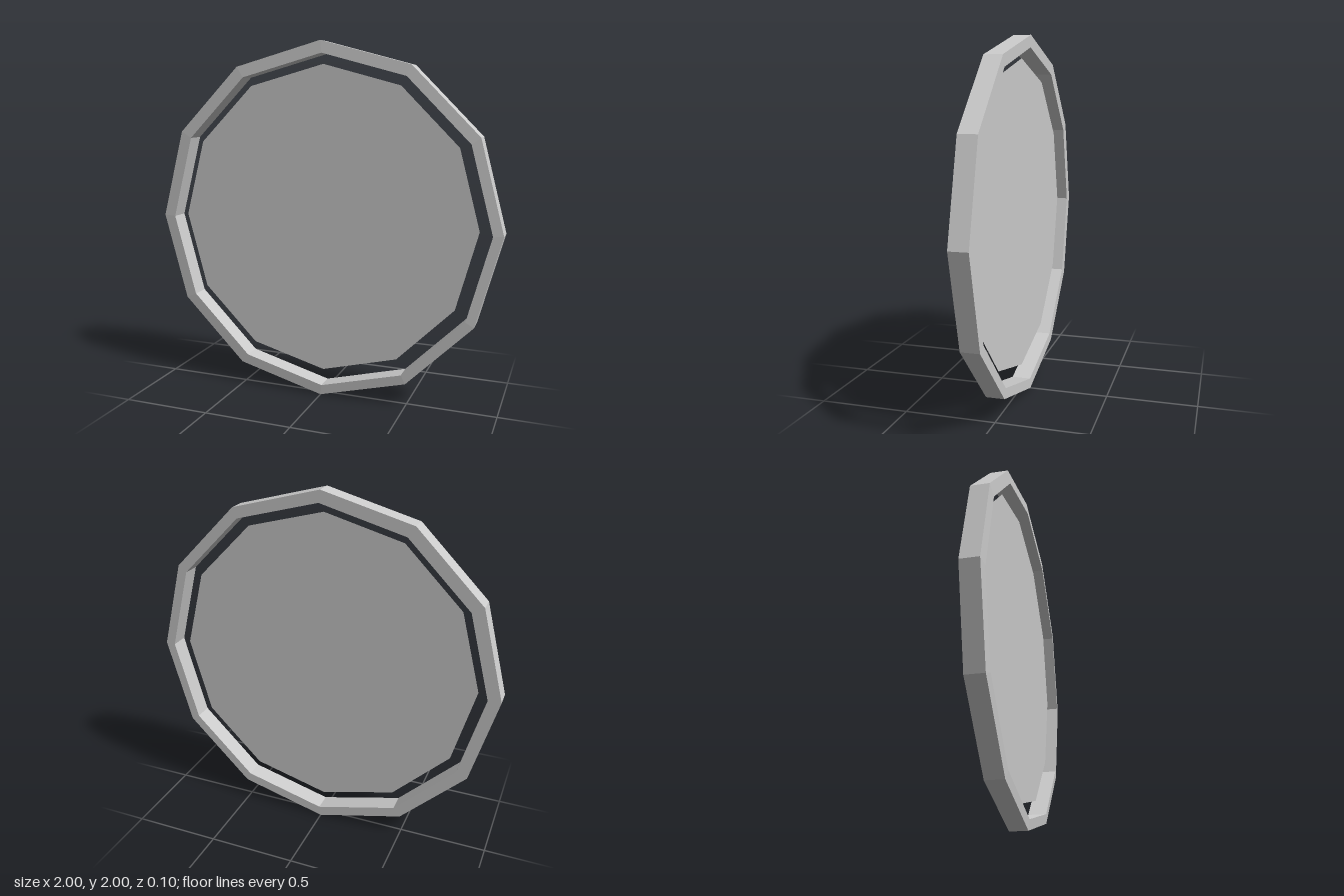
import * as THREE from 'three';

const SIDES = 12;

// Corners of a regular polygon around a centre
function polygon(radius, cx = 0, cy = 0) {
  return Array.from({ length: SIDES }, (_, i) => {
    const a = (i / SIDES) * Math.PI * 2;
    return new THREE.Vector2(cx + radius * Math.cos(a), cy + radius * Math.sin(a));
  });
}

export function createModel() {
  const group = new THREE.Group();
  group.name = 'roundPanel';

  // Twelve-sided frame, its opening very slightly off centre
  const shape = new THREE.Shape(polygon(1));
  shape.holes.push(new THREE.Path(polygon(0.937, 0.008, -0.004).reverse()));
  const frameGeometry = new THREE.ExtrudeGeometry(shape, { depth: 0.1, bevelEnabled: false });
  frameGeometry.translate(0, 0, -0.0525);

  // The front face rises slightly towards the opening
  const p = frameGeometry.attributes.position;
  for (let i = 0; i < p.count; i++) {
    const inner = Math.hypot(p.getX(i), p.getY(i)) < 0.97;
    if (inner && p.getZ(i) > 0) p.setZ(i, 0.0525);
  }
  frameGeometry.computeVertexNormals();
  const frame = new THREE.Mesh(
    frameGeometry,
    new THREE.MeshStandardMaterial({ color: 0xcccccc, flatShading: true })
  );
  frame.name = 'frame';
  frame.position.y = 1;

  // Thin flat pane floating inside the frame
  const pane = new THREE.Mesh(
    new THREE.CircleGeometry(0.87, SIDES),
    new THREE.MeshStandardMaterial({ color: 0xcccccc, flatShading: true, side: THREE.DoubleSide })
  );
  pane.name = 'pane';
  pane.position.y = 1.007;

  group.add(frame, pane);
  return group;
}
